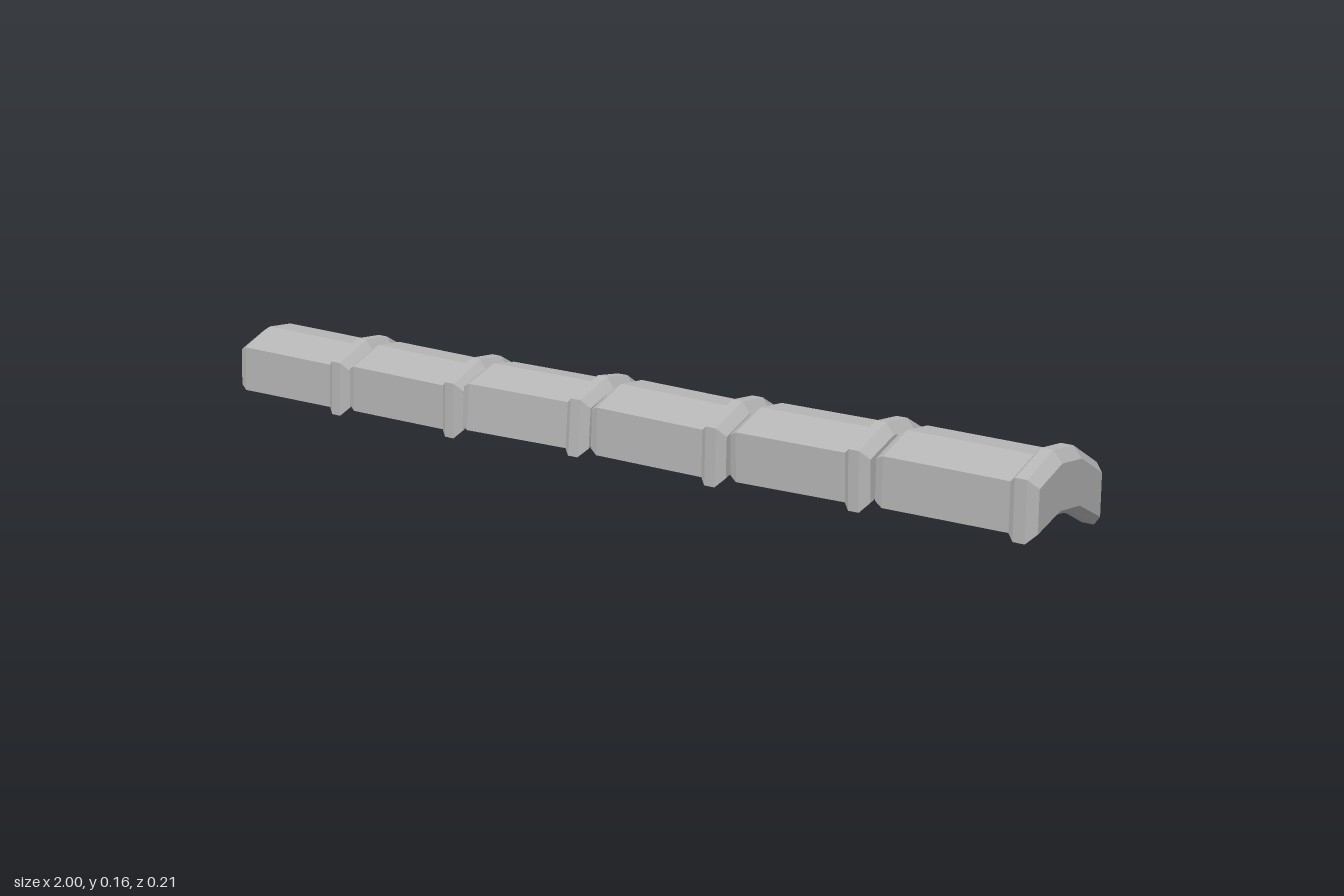
import * as THREE from 'three';

// Stations along one tile: [x, swell of the section]
const STATIONS = [
  [0, -0.01], [0.018, 0], [0.277, -0.002], [0.29, 0.011], [0.314, 0.011], [0.332, -0.009],
];

// Arched cross-section with a notched underside, as [z, y] around y = 0
function section(swell) {
  const w = 0.094 + swell * 0.5, f = 0.028;
  const top = 0.062 + swell, shoulder = 0.026 + swell * 0.7;
  const foot = -0.064 - swell * 0.9, notch = -0.032 - swell * 0.6;
  return [[-w, foot], [-w, shoulder], [-f, top], [f, top],
    [w, shoulder], [w, foot], [f, notch], [-f, notch]];
}

// Loft the section along x, with closed ends
function tileGeometry(scale) {
  const rings = STATIONS.map(([x, s]) =>
    section(s).map(([z, y]) => [(x - 0.166) * scale, y, z]));
  const pos = [];
  const quad = (a, b, c, d) => pos.push(...a, ...b, ...c, ...a, ...c, ...d);
  for (let i = 0; i < rings.length - 1; i++) {
    for (let j = 0; j < 8; j++) {
      const k = (j + 1) % 8;
      quad(rings[i][j], rings[i][k], rings[i + 1][k], rings[i + 1][j]);
    }
  }
  const start = rings[0], end = rings[rings.length - 1];
  for (const [a, b, c, d] of [[0, 1, 2, 7], [7, 2, 3, 6], [6, 3, 4, 5]]) {
    quad(end[a], end[b], end[c], end[d]);
    quad(start[d], start[c], start[b], start[a]);
  }
  const geo = new THREE.BufferGeometry();
  geo.setAttribute('position', new THREE.Float32BufferAttribute(pos, 3));
  geo.computeVertexNormals();
  return geo;
}

export function createModel() {
  const group = new THREE.Group();
  group.name = 'ridgeTiles';
  const stone = new THREE.MeshStandardMaterial({ color: 0xb4b4b4, flatShading: true });
  stone.name = 'grey stone';

  // Each tile sits a little crooked: [x start, x end, y, z, roll, yaw, pitch]
  const tiles = [
    [-1, -0.666, 0.079, -0.006, 0, 0, -0.02],
    [-0.666, -0.336, 0.077, -0.005, 0, -0.008, -0.02],
    [-0.336, -0.004, 0.078, -0.003, -0.07, 0.012, -0.008],
    [0, 0.33, 0.078, -0.005, 0, 0, -0.025],
    [0.337, 0.662, 0.08, -0.004, 0.01, -0.04, 0.004],
    [0.664, 1, 0.08, -0.004, 0, -0.006, -0.015],
  ];
  tiles.forEach(([x0, x1, y, z, roll, yaw, pitch], i) => {
    const tile = new THREE.Mesh(tileGeometry((x1 - x0) / 0.332), stone);
    tile.name = `ridgeTile${i + 1}`;
    tile.position.set((x0 + x1) / 2, y, z);
    tile.rotation.set(roll, yaw, pitch);
    group.add(tile);
  });
  return group;
}
